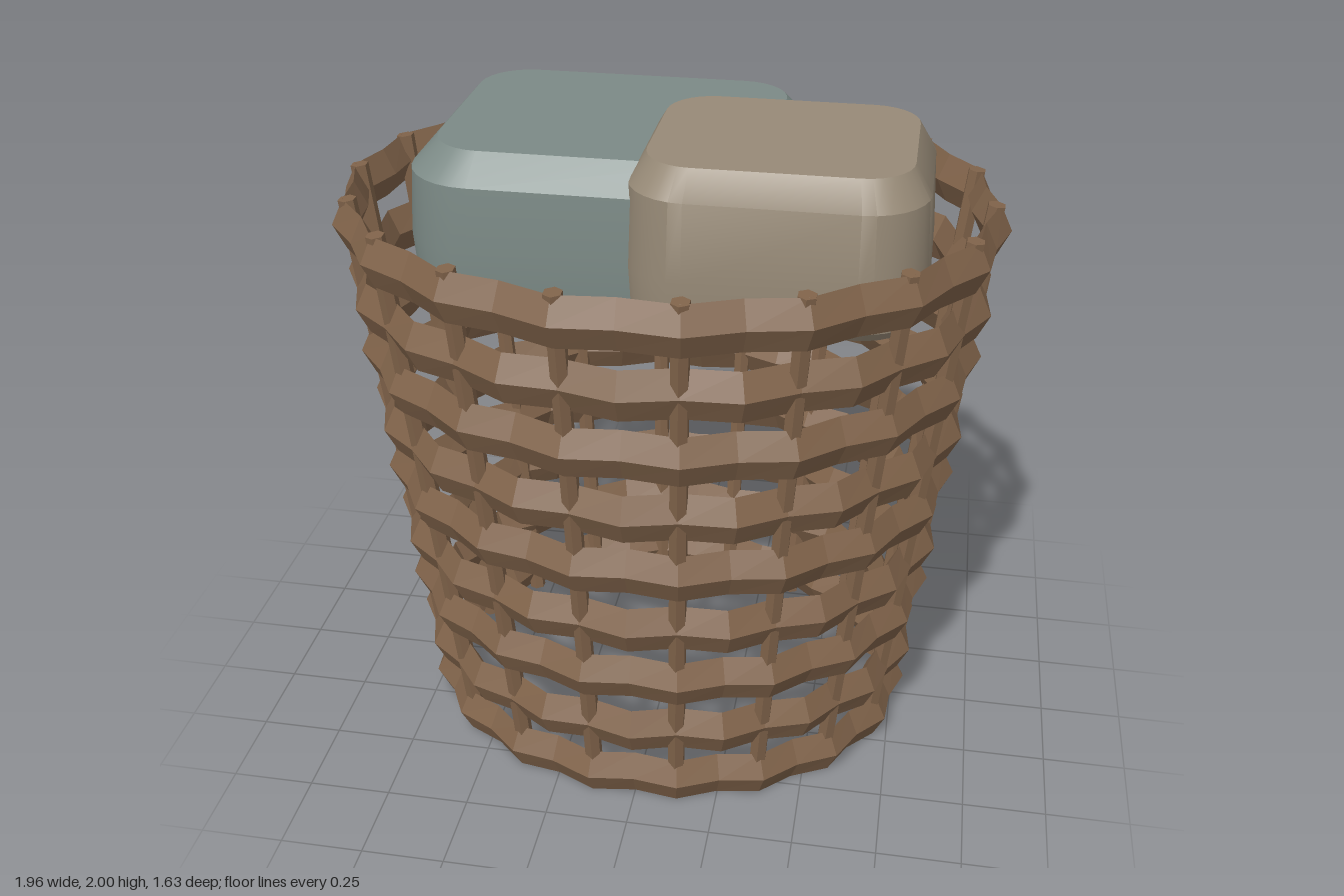
import * as THREE from 'three';
import { toCreasedNormals } from 'three/addons/utils/BufferGeometryUtils.js';

const STAKES = 18, ROWS = 9, ROW_STEP = 0.2016, FIRST_ROW = 0.076;
const WEAVE = 0.014, BAND_DEPTH = 0.036, BAND_HALF = 0.075;

// Skin a stack of closed loops; every loop runs counter-clockwise seen from above.
function loft(loops) {
  const n = loops[0].length, index = [];
  for (let r = 0; r < loops.length - 1; r++) {
    for (let i = 0; i < n; i++) {
      const j = (i + 1) % n;
      const a = r * n + i, b = r * n + j, c = a + n, d = b + n;
      index.push(a, b, d, a, d, c);
    }
  }
  const geometry = new THREE.BufferGeometry();
  geometry.setAttribute('position', new THREE.Float32BufferAttribute(loops.flat(2), 3));
  geometry.setIndex(index);
  geometry.computeVertexNormals();
  return geometry;
}

// Point on the flaring oval wall, pushed in or out by an offset.
function wallPoint(angle, y, offset) {
  const t = (y - FIRST_ROW) / (ROW_STEP * (ROWS - 1));
  return [
    (0.74 + 0.19 * t + offset) * Math.cos(angle),
    y,
    -(0.62 + 0.158 * t + offset) * Math.sin(angle),
  ];
}

// Woven band: diamond section that waves past the stakes, alternating row by row.
function bandGeometry(row) {
  const y = FIRST_ROW + row * ROW_STEP;
  const section = [[0, -BAND_HALF], [BAND_DEPTH, 0], [0, BAND_HALF], [-BAND_DEPTH, 0], [0, -BAND_HALF]];
  return loft(section.map(([out, up]) => {
    const loop = [];
    for (let i = 0; i < STAKES * 2; i++) {
      const wave = (i + row) % 2 === 0 ? WEAVE : -WEAVE;
      const p = wallPoint((i * Math.PI) / STAKES, y, out + wave);
      p[1] += up;
      loop.push(p);
    }
    return loop;
  }));
}

// Rounded rectangle loop at one height.
function roundedLoop(cx, cz, halfX, halfZ, radius, y) {
  const loop = [], steps = 7;
  for (let corner = 0; corner < 4; corner++) {
    const sx = corner === 0 || corner === 3 ? 1 : -1;
    const sz = corner < 2 ? -1 : 1;
    for (let i = 0; i <= steps; i++) {
      const a = (corner + i / steps) * Math.PI / 2;
      loop.push([
        cx + sx * (halfX - radius) + radius * Math.cos(a),
        y,
        cz + sz * (halfZ - radius) - radius * Math.sin(a),
      ]);
    }
  }
  return loop;
}

// Soft bundle with slightly leaning sides and bevelled top and bottom.
function bundleGeometry({ x, z, halfX, halfZ, radius, bottom, top, bevel }) {
  const profile = [
    [bottom, 0.03], [bottom + 0.03, 0.007], [bottom + 0.14, 0],
    [top - 0.08, 0.012], [top, bevel],
  ];
  const loops = profile.map(([y, inset]) =>
    roundedLoop(x, z, halfX - inset, halfZ - inset, radius - inset * 0.8, y));
  const centre = (y) => loops[0].map(() => [x, y, z]);
  return toCreasedNormals(loft([centre(bottom), ...loops, centre(top)]), 0.5);
}

export function createModel() {
  const model = new THREE.Group();
  const wicker = new THREE.MeshStandardMaterial({ color: 0x80634a, flatShading: true });
  wicker.name = 'brown wicker';
  const teal = new THREE.MeshStandardMaterial({ color: 0x7c8a86 });
  teal.name = 'grey teal cloth';
  const tan = new THREE.MeshStandardMaterial({ color: 0x978a77 });
  tan.name = 'tan cloth';

  const add = (parent, name, geometry, material) => {
    const mesh = new THREE.Mesh(geometry, material);
    mesh.name = name;
    parent.add(mesh);
    return mesh;
  };

  // Horizontal woven bands
  const basket = new THREE.Group();
  basket.name = 'basket';
  model.add(basket);
  for (let row = 0; row < ROWS; row++) add(basket, 'wovenBand', bandGeometry(row), wicker);

  // Upright stakes leaning with the wall
  const up = new THREE.Vector3(0, 1, 0);
  for (let i = 0; i < STAKES; i++) {
    const angle = (i * 2 * Math.PI) / STAKES;
    const foot = new THREE.Vector3(...wallPoint(angle, 0.005, -0.008));
    const head = new THREE.Vector3(...wallPoint(angle, 1.765, -0.008));
    const axis = head.clone().sub(foot);
    const stake = add(basket, 'stake', new THREE.CylinderGeometry(0.027, 0.027, axis.length(), 6), wicker);
    stake.position.copy(foot).add(head).multiplyScalar(0.5);
    stake.quaternion.setFromUnitVectors(up, axis.normalize());
  }

  // Folded bundles resting in the mouth of the basket
  add(model, 'largeBundle', bundleGeometry({
    x: -0.147, z: 0, halfX: 0.543, halfZ: 0.44, radius: 0.21, bottom: 1.56, top: 1.965, bevel: 0.085,
  }), teal);
  add(model, 'smallBundle', bundleGeometry({
    x: 0.352, z: 0.186, halfX: 0.411, halfZ: 0.345, radius: 0.18, bottom: 1.56, top: 2.0, bevel: 0.06,
  }), tan);

  return model;
}
